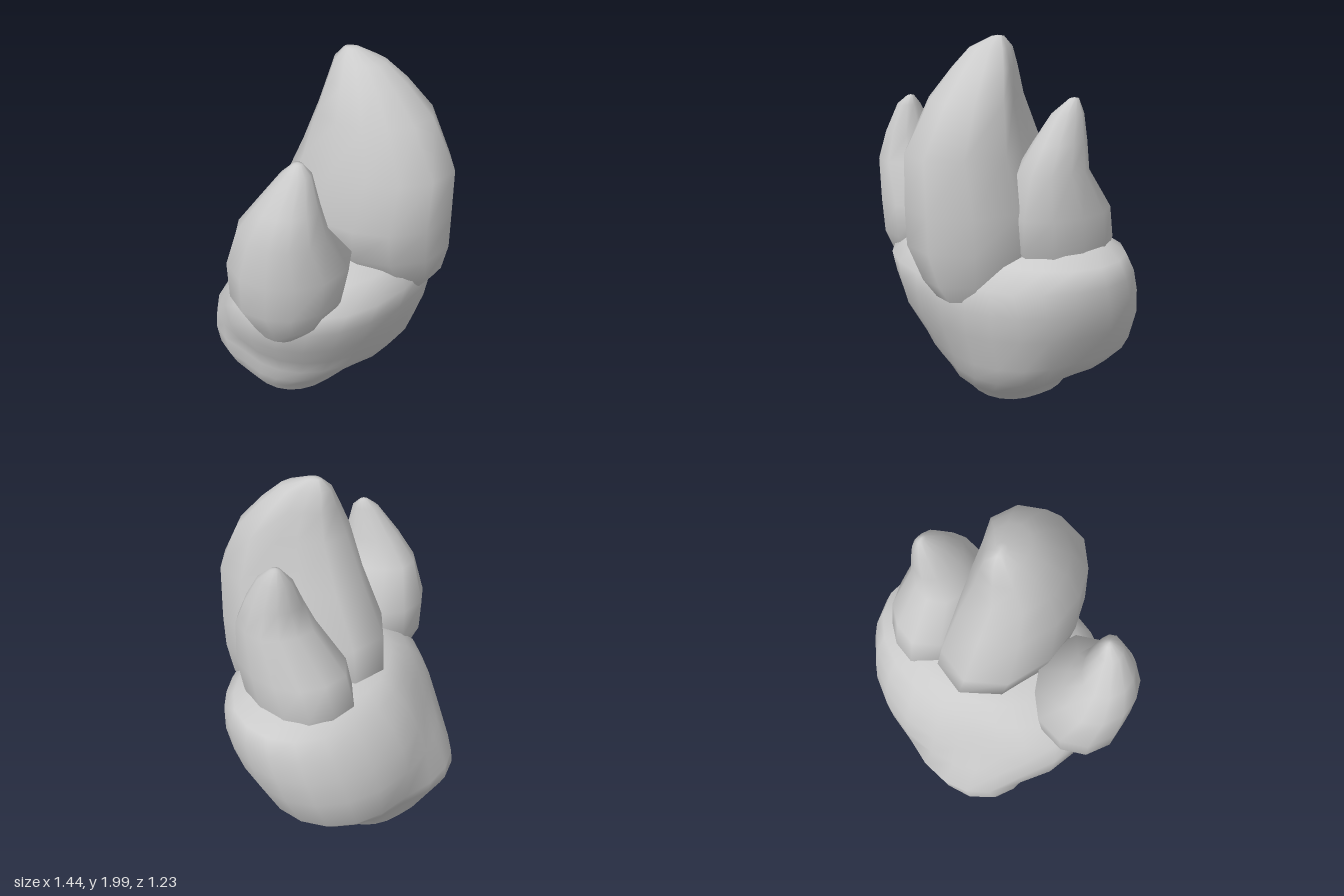
import * as THREE from 'three';

// Skin through level sections, bottom to top: [y, xMin, xMax, zMin, zMax, corners].
// corners scales the radius towards front left, front right, back right, back left.
function loft(name, sections, sides, power, shape) {
  const pos = [], index = [];
  const bend = (v) => Math.sign(v) * Math.pow(Math.abs(v), 2 / power);
  for (const [y, x0, x1, z0, z1, corners = shape] of sections) {
    const cx = (x0 + x1) / 2, cz = (z0 + z1) / 2;
    for (let i = 0; i < sides; i++) {
      const t = (i / sides) * Math.PI * 2;
      const corner = corners[Math.floor((4 * i) / sides)];
      const k = 1 + (corner - 1) * Math.abs(Math.sin(2 * t));
      pos.push(cx + bend(Math.cos(t)) * k * (x1 - x0) / 2, y, cz + bend(Math.sin(t)) * k * (z1 - z0) / 2);
    }
  }
  for (let r = 0; r < sections.length - 1; r++) {
    for (let i = 0; i < sides; i++) {
      const a = r * sides + i, b = r * sides + (i + 1) % sides;
      index.push(a, a + sides, b, b, a + sides, b + sides);
    }
  }
  // close the top, leave the bottom open
  const last = sections[sections.length - 1], top = (sections.length - 1) * sides;
  pos.push((last[1] + last[2]) / 2, last[0] + 0.005, (last[3] + last[4]) / 2);
  for (let i = 0; i < sides; i++) index.push(top + i, pos.length / 3 - 1, top + (i + 1) % sides);

  const geo = new THREE.BufferGeometry();
  geo.setAttribute('position', new THREE.Float32BufferAttribute(pos, 3));
  geo.setIndex(index);
  geo.computeVertexNormals();
  const mesh = new THREE.Mesh(geo, new THREE.MeshStandardMaterial({ color: 0xcccccc, side: THREE.DoubleSide }));
  mesh.name = name;
  return mesh;
}

export function createModel() {
  const group = new THREE.Group();
  group.name = 'clawedPaw';

  // Pad: open at the ankle, heel low at the back right, domed on top
  group.add(loft('pad', [
    [0.01, -0.41, 0.19, -0.42, 0.14, [1.06, 1, 1.08, 1]],
    [0.10, -0.47, 0.26, -0.46, 0.19, [1.15, 1, 1.12, 1]],
    [0.20, -0.50, 0.39, -0.50, 0.29, [1.18, 1, 1.18, 1.05]],
    [0.30, -0.51, 0.53, -0.56, 0.36, [1.1, 1, 1.16, 1.06]],
    [0.40, -0.53, 0.60, -0.61, 0.41, [1.03, 1, 1.07, 1.1]],
    [0.58, -0.61, 0.68, -0.61, 0.50, [0.95, 1.02, 0.86, 1.1]],
    [0.72, -0.60, 0.71, -0.58, 0.53, [0.92, 1.05, 0.8, 1.1]],
    [0.84, -0.55, 0.71, -0.53, 0.54, [0.87, 1.1, 0.79, 1.12]],
    [0.94, -0.44, 0.68, -0.46, 0.45, [0.8, 1.12, 0.82, 1.14]],
    [1.01, -0.30, 0.54, -0.37, 0.32, [0.8, 1.12, 0.85, 1.12]],
    [1.04, -0.18, 0.35, -0.20, 0.20, [0.9, 1.1, 0.9, 1]],
  ], 24, 2.25));

  // Claws, rooted inside the pad
  group.add(loft('middleClaw', [
    [0.76, 0.04, 0.42, -0.10, 0.50],
    [0.85, -0.04, 0.45, -0.20, 0.56],
    [1.02, -0.20, 0.48, -0.30, 0.61],
    [1.20, -0.22, 0.48, -0.27, 0.61],
    [1.47, -0.16, 0.45, -0.15, 0.61],
    [1.71, -0.11, 0.39, -0.05, 0.47],
    [1.85, -0.04, 0.30, -0.02, 0.34],
    [1.94, 0.01, 0.22, 0.00, 0.24],
    [1.99, 0.07, 0.13, 0.04, 0.11],
  ], 12, 2.1, [1.1, 0.9, 1.14, 0.72]));

  group.add(loft('leftClaw', [
    [0.85, 0.20, 0.57, -0.36, 0.10],
    [1.00, 0.14, 0.60, -0.42, 0.19],
    [1.17, 0.16, 0.62, -0.38, 0.20],
    [1.38, 0.26, 0.60, -0.22, 0.16],
    [1.52, 0.33, 0.57, -0.20, 0.08],
    [1.65, 0.39, 0.53, -0.18, -0.01],
    [1.72, 0.45, 0.49, -0.15, -0.10],
  ], 12, 2.1, [1.06, 0.9, 1.12, 0.98]));

  group.add(loft('rightClaw', [
    [0.67, -0.58, -0.38, 0.12, 0.34],
    [0.77, -0.64, -0.26, 0.04, 0.43],
    [0.91, -0.71, -0.18, -0.02, 0.49],
    [1.10, -0.71, -0.14, -0.04, 0.51],
    [1.31, -0.68, -0.30, 0.06, 0.49],
    [1.45, -0.61, -0.34, 0.16, 0.45],
    [1.61, -0.50, -0.37, 0.26, 0.39],
    [1.655, -0.44, -0.40, 0.30, 0.34],
  ], 12, 2.1, [1.1, 0.92, 1.05, 0.85]));

  return group;
}
